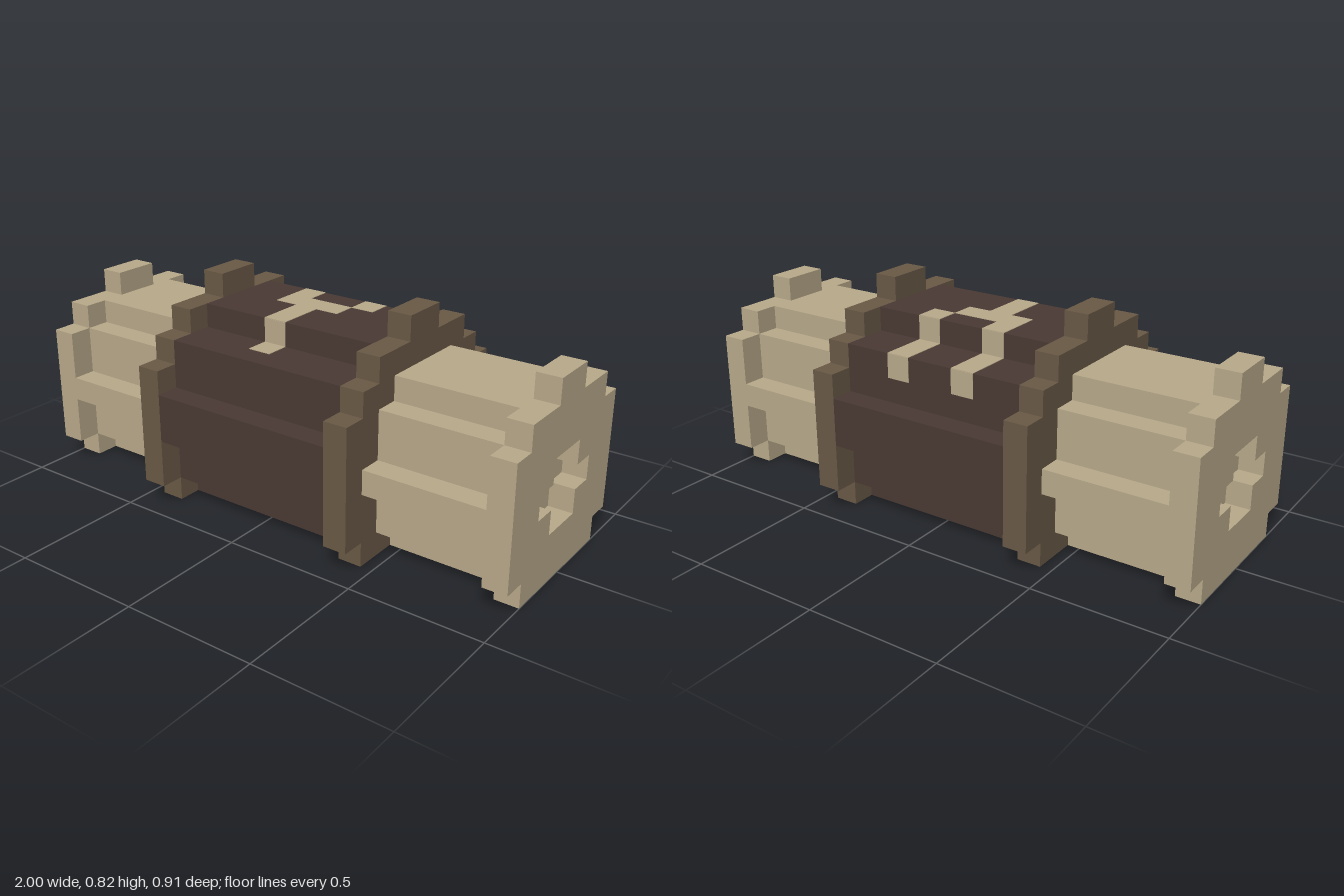
import * as THREE from 'three';

const U = 1 / 11; // one block

// Mirrored stepped outline from rows of [top height, half width], in blocks
function steppedShape(rows) {
  const right = [];
  let y = 0;
  for (const [top, w] of rows) {
    right.push([w, y], [w, top]);
    y = top;
  }
  const left = right.map(([w, h]) => [-w, h]).reverse();
  return new THREE.Shape([...right, ...left].map(([a, b]) => new THREE.Vector2(a * U, b * U)));
}

// Extrude a shape along x between two block positions
function alongX(name, shape, x0, x1, material) {
  const geo = new THREE.ExtrudeGeometry(shape, { depth: (x1 - x0) * U, bevelEnabled: false });
  geo.rotateY(Math.PI / 2);
  geo.translate(x0 * U, 0, 0);
  const mesh = new THREE.Mesh(geo, material);
  mesh.name = name;
  return mesh;
}

export function createModel() {
  const tan = new THREE.MeshStandardMaterial({ color: 0xbaab8b });
  tan.name = 'tan';
  const brown = new THREE.MeshStandardMaterial({ color: 0x6a5a46 });
  brown.name = 'brown';
  const dark = new THREE.MeshStandardMaterial({ color: 0x4a3a34 });
  dark.name = 'darkBrown';

  const model = new THREE.Group();
  model.name = 'handle';

  // Dark middle grip
  const grip = steppedShape([[1, 3], [3, 4], [5, 5], [7, 4], [8, 2]]);
  model.add(alongX('grip', grip, -4, 4, dark));

  // Collar, shaft and end cap on both sides
  const collar = steppedShape([[1, 4], [6, 5], [7, 4], [8, 3], [9, 1]]);
  const shaft = steppedShape([[1, 2], [3, 3], [4, 4], [6, 3], [7, 2]]);
  const cap = steppedShape([[1, 3], [6, 4], [7, 3], [8, 1]]);
  cap.holes.push(new THREE.Path(steppedShape([[1, 1], [2, 2], [3, 1]])
    .getPoints().map((p) => new THREE.Vector2(p.x, p.y + 2 * U)))); // cross-shaped socket
  for (const [side, s] of [['left', 1], ['right', -1]]) {
    const add = (part, shape, a, b, mat) =>
      model.add(alongX(side + part, shape, Math.min(s * a, s * b), Math.max(s * a, s * b), mat));
    add('Collar', collar, 4, 5, brown);
    add('Shaft', shaft, 5, 10, tan);
    add('EndCap', cap, 10, 11, tan);
  }

  // Thin forked marking that follows the steps of the grip
  const marking = new THREE.Group();
  marking.name = 'forkedMarking';
  const T = 0.004;
  const plate = (x0, x1, y0, y1, z0, z1) => {
    const size = [x1 - x0, y1 - y0, z1 - z0].map((d) => d * U || T);
    const mesh = new THREE.Mesh(new THREE.BoxGeometry(...size), tan);
    mesh.name = 'markingPlate';
    mesh.position.set((x0 + x1) * U / 2, (y0 + y1) * U / 2, (z0 + z1) * U / 2);
    marking.add(mesh);
  };
  // Stem over the front
  plate(-1, 0, 8, 8, 0, 2);
  plate(-1, 0, 7, 8, 2, 2);
  plate(-1, 0, 7, 7, 2, 3);
  // Crossbar
  plate(-2, 1, 8, 8, -1, 0);
  // Two prongs over the back
  for (const x of [-2, 1]) {
    plate(x, x + 1, 8, 8, -2, -1);
    plate(x, x + 1, 7, 8, -2, -2);
    plate(x, x + 1, 7, 7, -4, -2);
    plate(x, x + 1, 6, 7, -4, -4);
  }
  model.add(marking);

  return model;
}
